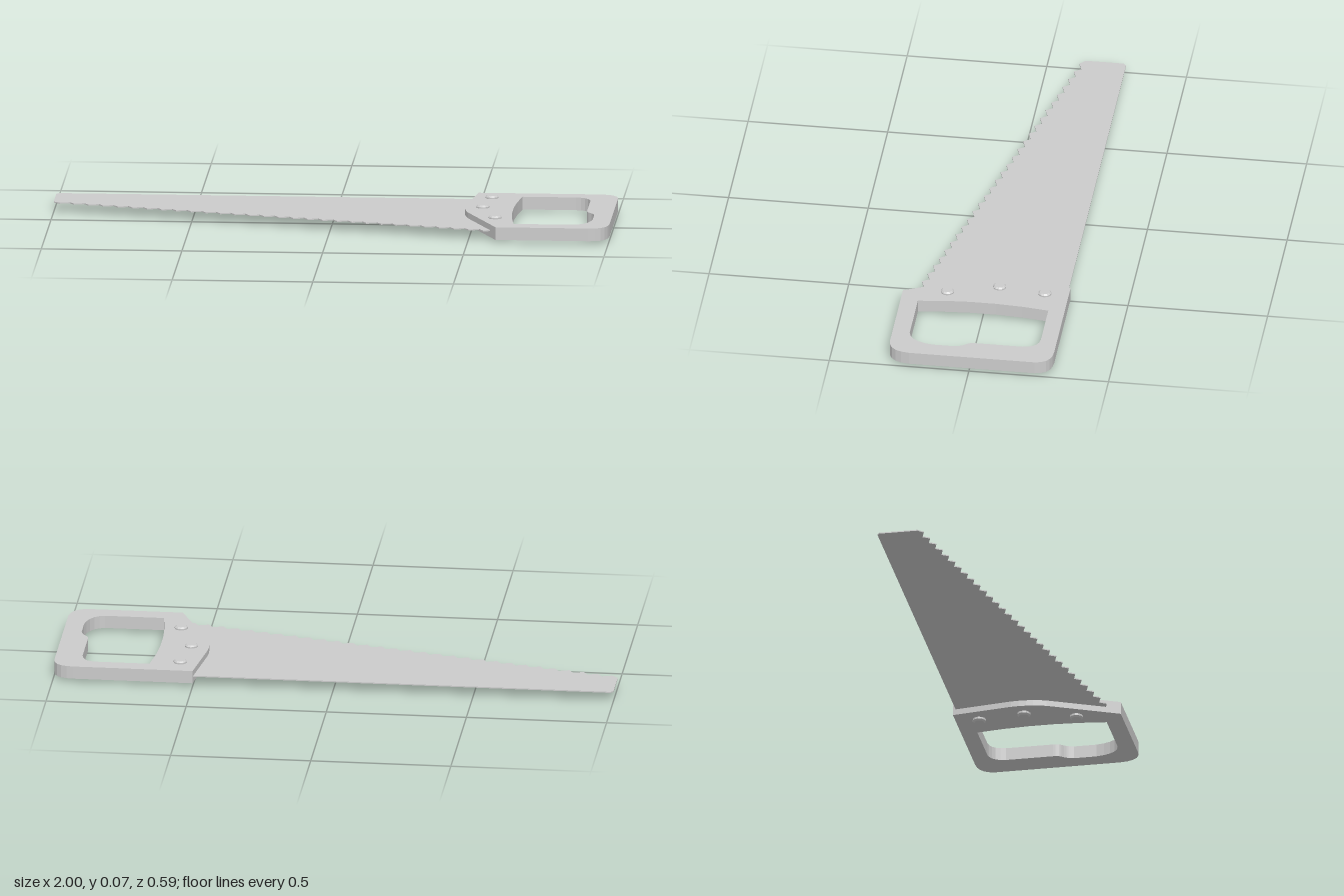
import * as THREE from 'three';

const material = new THREE.MeshStandardMaterial({ color: 0xcccccc, flatShading: true });

// Extrudes an outline drawn in (x, z) so that it lies flat between two heights.
function slab(name, shape, bottom, top) {
  const geometry = new THREE.ExtrudeGeometry(shape, { depth: top - bottom, bevelEnabled: false, curveSegments: 5 });
  geometry.rotateX(Math.PI / 2).translate(0, top, 0);
  const mesh = new THREE.Mesh(geometry, material);
  mesh.name = name;
  return mesh;
}

// Tapered blade with a toothed cutting edge
function createBlade() {
  const teeth = 30;
  const start = new THREE.Vector2(-1, -0.125);
  const end = new THREE.Vector2(0.585, 0.258);
  const step = end.clone().sub(start).divideScalar(teeth);
  const inward = new THREE.Vector2(step.y, -step.x).normalize().multiplyScalar(0.02);

  const shape = new THREE.Shape();
  shape.moveTo(0.6, -0.285);
  shape.lineTo(-0.99, -0.285);
  shape.lineTo(-1, -0.275);
  shape.lineTo(start.x, start.y - 0.015);
  for (let i = 0; i < teeth; i++) {
    const tip = start.clone().addScaledVector(step, i + 0.4);
    const gullet = start.clone().addScaledVector(step, i + 1).add(inward);
    shape.lineTo(tip.x, tip.y);
    shape.lineTo(gullet.x, gullet.y);
  }
  shape.lineTo(0.62, 0.24);
  shape.closePath();
  return slab('blade', shape, 0.033, 0.037);
}

// Closed handle with a shaped grip opening
function createHandle() {
  const shape = new THREE.Shape();
  shape.moveTo(0.5, -0.295);
  shape.lineTo(0.925, -0.295);
  shape.quadraticCurveTo(0.995, -0.295, 1, -0.235);
  shape.lineTo(1, 0.215);
  shape.quadraticCurveTo(0.995, 0.292, 0.93, 0.292);
  shape.lineTo(0.6, 0.292);
  shape.lineTo(0.485, 0.045);
  shape.quadraticCurveTo(0.465, -0.01, 0.47, -0.08);
  shape.closePath();

  const grip = new THREE.Path();
  grip.moveTo(0.66, -0.237);
  grip.quadraticCurveTo(0.622, 0, 0.66, 0.23);
  grip.lineTo(0.87, 0.23);
  grip.quadraticCurveTo(0.925, 0.22, 0.935, 0.14);
  grip.lineTo(0.935, 0.06);
  grip.quadraticCurveTo(0.93, 0.035, 0.915, 0.02);
  grip.quadraticCurveTo(0.905, 0.01, 0.905, -0.01);
  grip.lineTo(0.905, -0.18);
  grip.quadraticCurveTo(0.9, -0.235, 0.85, -0.237);
  grip.closePath();
  shape.holes.push(grip);
  return slab('handle', shape, 0.012, 0.058);
}

// Rivets passing through the handle, with chamfered heads on both faces
function createRivets() {
  const group = new THREE.Group();
  group.name = 'rivets';
  const profile = [[0, 0], [0.018, 0], [0.0235, 0.005], [0.0235, 0.063], [0.018, 0.068], [0, 0.068]]
    .map(([r, y]) => new THREE.Vector2(r, y));
  const geometry = new THREE.LatheGeometry(profile, 12);
  for (const [x, z] of [[0.553, -0.21], [0.532, -0.045], [0.588, 0.134]]) {
    const rivet = new THREE.Mesh(geometry, material);
    rivet.name = 'rivet';
    rivet.position.set(x, 0, z);
    group.add(rivet);
  }
  return group;
}

export function createModel() {
  const saw = new THREE.Group();
  saw.name = 'handSaw';
  saw.add(createBlade(), createHandle(), createRivets());
  return saw;
}
